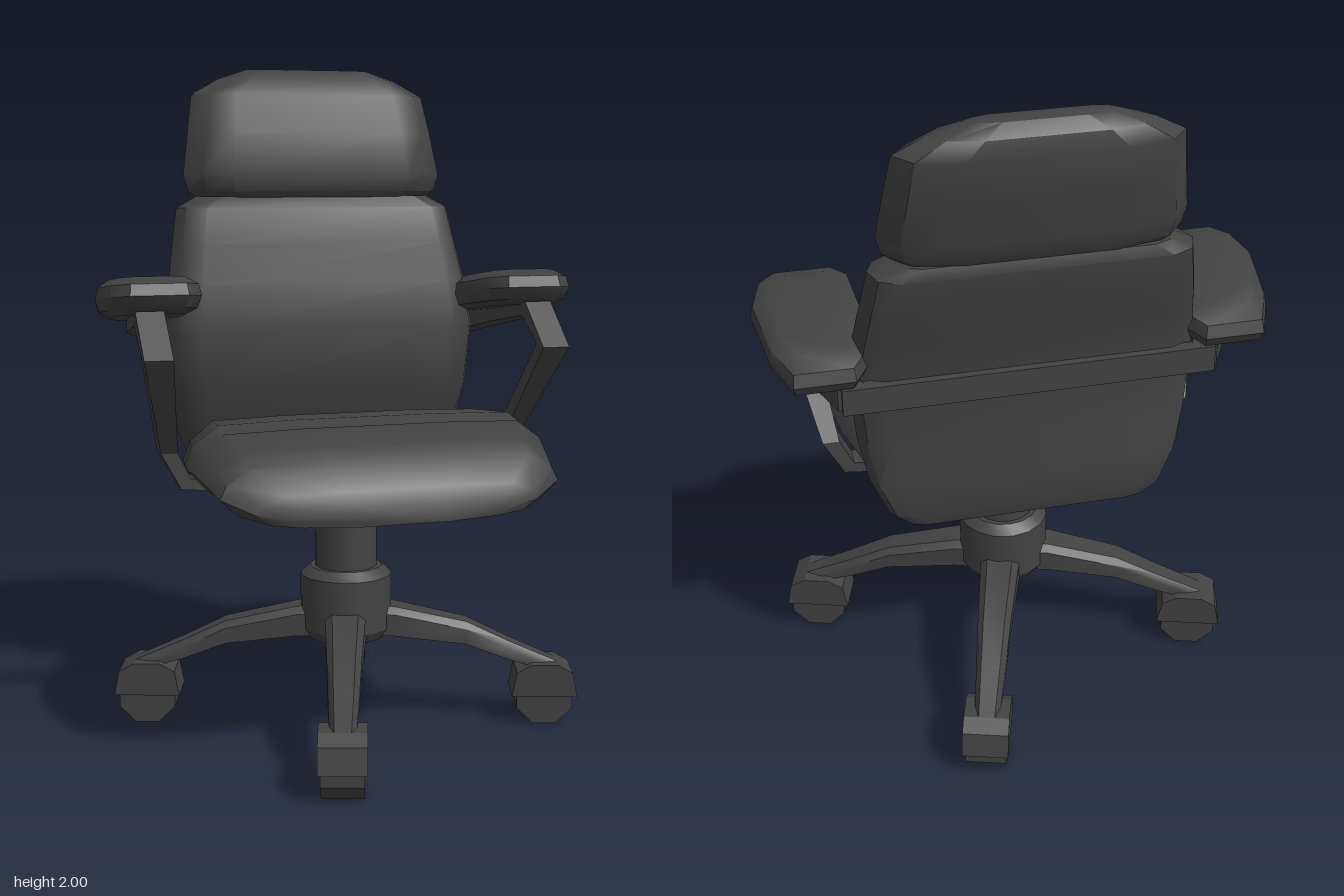
import * as THREE from 'three';
import { toCreasedNormals } from 'three/addons/utils/BufferGeometryUtils.js';

const charcoal = new THREE.MeshStandardMaterial({ color: 0x424242 });
charcoal.name = 'charcoal';

// Closed skin over a list of equal-length rings of [x, y, z], capped at both ends.
function loft(rings, crease = 0.7) {
  const n = rings[0].length, pos = rings.flat(2), index = [];
  for (let r = 0; r < rings.length - 1; r++) {
    for (let i = 0; i < n; i++) {
      const a = r * n + i, b = r * n + (i + 1) % n;
      index.push(a, b, b + n, a, b + n, a + n);
    }
  }
  const last = (rings.length - 1) * n;
  for (let i = 1; i < n - 1; i++) index.push(0, i + 1, i, last, last + i, last + i + 1);
  // make every face point outward
  const v = (i) => new THREE.Vector3().fromArray(pos, i * 3);
  let volume = 0;
  for (let i = 0; i < index.length; i += 3) {
    volume += v(index[i]).dot(v(index[i + 1]).cross(v(index[i + 2])));
  }
  if (volume < 0) index.reverse();
  const g = new THREE.BufferGeometry();
  g.setAttribute('position', new THREE.Float32BufferAttribute(pos, 3));
  g.setIndex(index);
  return toCreasedNormals(g, crease);
}

function add(parent, name, geometry) {
  const m = new THREE.Mesh(geometry, charcoal);
  m.name = name;
  parent.add(m);
  return m;
}

// Mirror half a profile in x into a closed ring
const mirror = (half) => [...half, ...half.slice().reverse().map(([x, t]) => [-x, t])];

// Upright cushion: sections are [y, halfWidth, zFront, zBack]
const upright = (sections, half) => loft(sections.map(([y, w, zf, zb]) =>
  mirror(half).map(([x, t]) => [x * w, y, zf + (zb - zf) * t])));

// Bar with a box section: rows are [centre, half side a, half side b]
const bar = (rows) => loft(rows.map(([c, a, b]) =>
  [[1, 1], [-1, 1], [-1, -1], [1, -1]].map(([p, q]) => c.map((k, i) => k + p * a[i] + q * b[i]))), 0.5);

export function createModel() {
  const chair = new THREE.Group();
  chair.name = 'officeChair';

  // Seat: [z, halfWidth, yBottom, yTop]
  const seatHalf = [[0.45, 0], [0.9, 0.15], [1, 0.45], [0.96, 0.7], [0.82, 0.97], [0.4, 1]];
  add(chair, 'seat', loft([
    [0.55, 0.31, 0.735, 0.79], [0.53, 0.40, 0.735, 0.83], [0.47, 0.49, 0.745, 0.9],
    [0.4, 0.505, 0.755, 0.93], [0.29, 0.53, 0.77, 0.967], [0.26, 0.535, 0.77, 0.96],
    [0.21, 0.535, 0.77, 0.98], [0, 0.5, 0.75, 0.96], [-0.15, 0.45, 0.735, 0.93],
    [-0.28, 0.42, 0.72, 0.88], [-0.34, 0.38, 0.72, 0.8],
  ].map(([z, w, yb, yt]) => mirror(seatHalf).map(([x, t]) => [x * w, yb + (yt - yb) * t, z]))));

  // Backrest and headrest
  add(chair, 'backrest', upright([
    [0.72, 0.36, -0.29, -0.35], [0.76, 0.41, -0.27, -0.36], [0.87, 0.46, -0.24, -0.355],
    [1.0, 0.485, -0.185, -0.35], [1.2, 0.5, -0.17, -0.345], [1.34, 0.485, -0.2, -0.38],
    [1.46, 0.465, -0.235, -0.42], [1.57, 0.445, -0.265, -0.445], [1.605, 0.38, -0.29, -0.44],
  ], [[0.82, 0], [0.95, 0.2], [1, 0.5], [0.95, 0.85], [0.82, 1]]));
  add(chair, 'headrest', upright([
    [1.59, 0.36, -0.3, -0.43], [1.62, 0.405, -0.27, -0.455], [1.67, 0.42, -0.26, -0.465],
    [1.8, 0.4, -0.29, -0.49], [1.92, 0.38, -0.335, -0.512], [1.97, 0.29, -0.37, -0.505],
    [2.0, 0.2, -0.41, -0.47],
  ], [[0.68, 0], [0.88, 0.18], [1, 0.5], [0.87, 0.85], [0.55, 1]]));

  // Bar across the rear of the backrest
  const backBar = add(chair, 'backBar', new THREE.BoxGeometry(1.06, 0.08, 0.04));
  backBar.position.set(0, 1.185, -0.355);

  // Arms
  const padOutline = [[-0.09, -0.24], [0.08, -0.24], [0.13, -0.12], [0.16, 0.09], [0.13, 0.2],
    [0.08, 0.245], [-0.09, 0.245], [-0.135, 0.2], [-0.155, -0.04], [-0.14, -0.16]];
  for (const s of [1, -1]) {
    const arm = new THREE.Group();
    arm.name = s > 0 ? 'leftArm' : 'rightArm';
    chair.add(arm);
    add(arm, 'armPad', loft([
      [-0.055, 0.72], [-0.04, 0.92], [-0.005, 1], [0.03, 0.95], [0.055, 0.72],
    ].map(([y, k]) => padOutline.map(([x, z]) =>
      [s * (0.58 + x * k), 1.305 + y + 0.14 * z * k, -0.16 + z * k]))));
    add(arm, 'armFrame', bar([
      [[0.5, 1.19, -0.36], [0.04, 0, 0], [0, 0.035, 0]],
      [[0.585, 1.225, -0.22], [0.042, 0, 0], [0, 0.025, 0]],
      [[0.6, 1.265, 0.04], [0.042, 0, 0], [0, 0.022, 0.012]],
      [[0.6, 1.165, 0.172], [0.042, 0, 0], [0, -0.004, 0.027]],
      [[0.54, 0.86, -0.04], [0.025, 0, 0], [0, 0, 0.035]],
      [[0.49, 0.765, -0.045], [0.015, -0.015, 0], [0, 0, 0.035]],
      [[0.25, 0.738, -0.045], [0, -0.018, 0], [0, 0, 0.035]],
      [[0, 0.735, -0.045], [0, -0.018, 0], [0, 0, 0.035]],
    ].map((row) => row.map(([x, y, z]) => [s * x, y, z]))));
  }

  // Column and hub
  const column = add(chair, 'column', new THREE.CylinderGeometry(0.095, 0.095, 0.3, 16));
  column.position.y = 0.62;
  const hubProfile = [[0, 0.27], [0.12, 0.27], [0.14, 0.3], [0.14, 0.465], [0.11, 0.49], [0, 0.49]];
  add(chair, 'hub', toCreasedNormals(
    new THREE.LatheGeometry(hubProfile.map(([x, y]) => new THREE.Vector2(x, y)), 16), 0.5));

  // Four legs with casters
  const legSections = [[0.06, 0.28, 0.37, 0.065], [0.15, 0.278, 0.365, 0.06],
    [0.37, 0.25, 0.317, 0.05], [0.5, 0.2, 0.255, 0.044], [0.65, 0.155, 0.19, 0.036]];
  const fender = [[-0.1, 0.09], [-0.085, 0.165], [-0.04, 0.19], [0.04, 0.19], [0.085, 0.165], [0.1, 0.09]];
  for (let i = 0; i < 4; i++) {
    const leg = new THREE.Group();
    leg.name = 'leg' + (i + 1);
    leg.rotation.y = -0.3 + i * Math.PI / 2;
    chair.add(leg);
    add(leg, 'legBeam', loft(legSections.map(([x, yb, yt, w]) =>
      [[x, yb, w], [x, yt - 0.02, w], [x, yt, w * 0.65], [x, yt, -w * 0.65], [x, yt - 0.02, -w], [x, yb, -w]])));
    add(leg, 'casterHood', loft([-0.068, 0.068].map((z) => fender.map(([x, y]) => [0.61 + x, y, z])), 0.5));
    const wheelShape = new THREE.CylinderGeometry(0.092, 0.092, 0.12, 8, 1, false, Math.PI / 8);
    const wheel = add(leg, 'casterWheel', toCreasedNormals(wheelShape.rotateX(Math.PI / 2), 0.5));
    wheel.position.set(0.61, 0.088, 0);
  }
  return chair;
}
